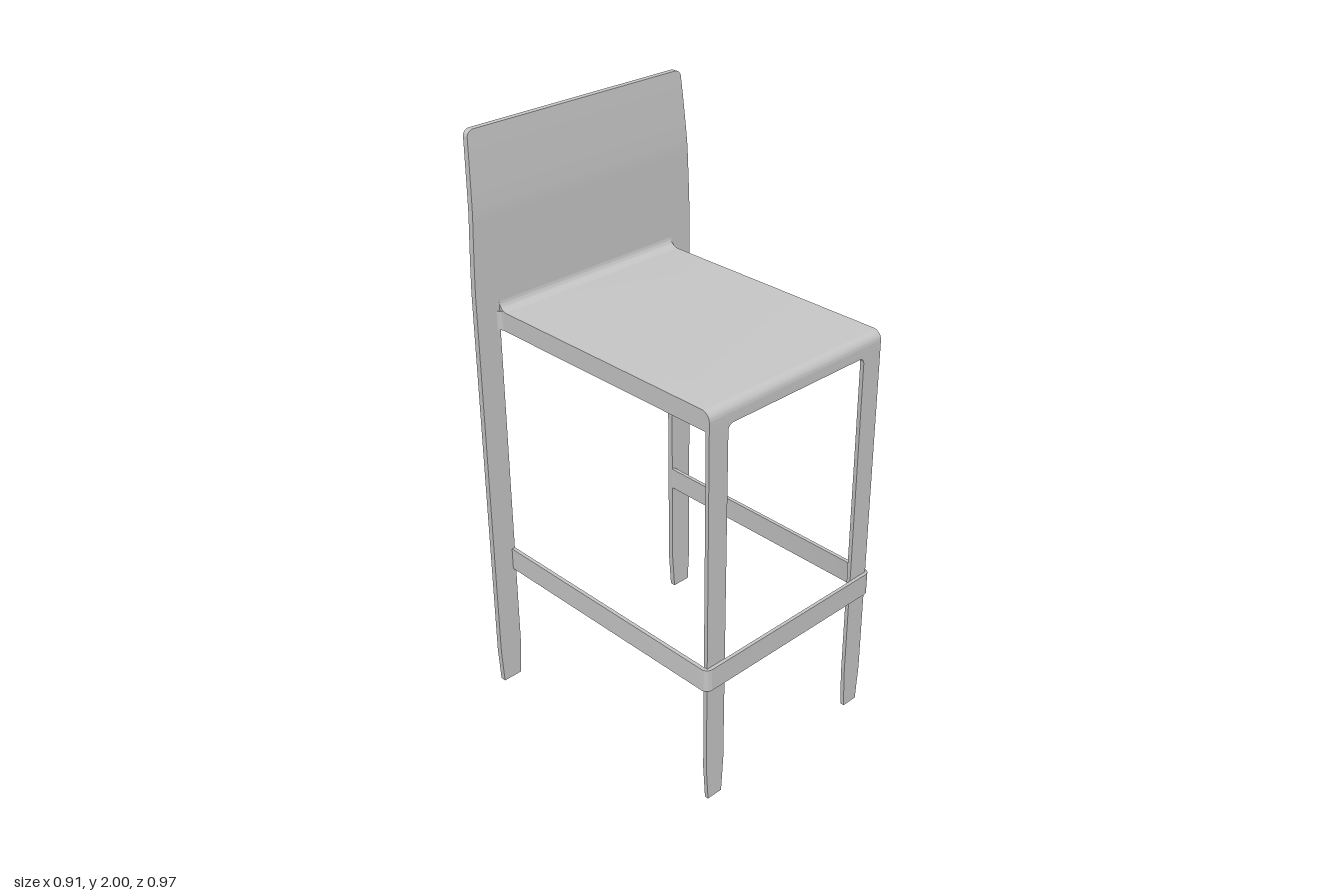
import * as THREE from 'three';
import { toCreasedNormals } from 'three/addons/utils/BufferGeometryUtils.js';

const SEAT_TOP = 1.41, SEAT_BOTTOM = 1.345;
const BACK_Z = -0.447, BACK_T = 0.02;   // front face and thickness of the back
const FRONT_Z = 0.474, FRONT_T = 0.014; // front face and thickness of the front legs
const SEAT_W = 0.369, BACK_W = 0.457;   // half widths

const extrude = (shape, depth) =>
  new THREE.ExtrudeGeometry(shape, { depth, bevelEnabled: false, curveSegments: 8 });
const polygon = (pts) => new THREE.Shape(pts.map(([x, y]) => new THREE.Vector2(x, y)));

export function createModel() {
  const group = new THREE.Group();
  const grey = new THREE.MeshStandardMaterial({ color: 0xc4c4c4 });
  grey.name = 'grey';
  const add = (name, geometry) => {
    const mesh = new THREE.Mesh(toCreasedNormals(geometry, 0.6), grey);
    mesh.name = name;
    group.add(mesh);
  };

  // Seat: side profile with a rounded nose and a fillet sweeping up into the back
  const seat = new THREE.Shape();
  const r = 0.032;
  seat.moveTo(BACK_Z, SEAT_BOTTOM);
  seat.lineTo(FRONT_Z, SEAT_BOTTOM);
  seat.lineTo(FRONT_Z, SEAT_TOP - r);
  seat.absarc(FRONT_Z - r, SEAT_TOP - r, r, 0, Math.PI / 2, false);
  seat.lineTo(BACK_Z + r, SEAT_TOP);
  seat.absarc(BACK_Z + r, SEAT_TOP + r, r, Math.PI * 1.5, Math.PI, true);
  const seatGeo = extrude(seat, SEAT_W * 2);
  seatGeo.rotateY(-Math.PI / 2).translate(SEAT_W, 0, 0);
  add('seat', seatGeo);

  // Backrest: a panel narrowed, rounded at the corners and leaned back towards the top
  const panel = new THREE.BoxGeometry(2, 1, BACK_T, 1, 40, 1);
  const pos = panel.attributes.position;
  const corner = 0.022;
  for (let i = 0; i < pos.count; i++) {
    const row = Math.round((pos.getY(i) + 0.5) * 40);
    // the last ten rows trace the rounded corner
    const a = Math.max(0, row - 30) / 10 * Math.PI / 2;
    const y = row <= 30
      ? SEAT_BOTTOM + (2 - corner - SEAT_BOTTOM) * row / 30
      : 2 - corner + corner * Math.sin(a);
    const taper = Math.max(0, (y - 1.48) / 0.52);
    const lean = Math.max(0, (y - 1.74) / 0.26);
    const w = BACK_W - 0.025 * taper ** 1.3 - corner * (1 - Math.cos(a));
    pos.setXYZ(i, pos.getX(i) * w, y, pos.getZ(i) + BACK_Z - BACK_T / 2 - 0.019 * lean ** 1.2);
  }
  add('backrest', panel);

  for (const s of [1, -1]) {
    const side = s > 0 ? 'left' : 'right';

    // Back leg, tapered at the foot
    const back = extrude(polygon([
      [0.45 * s, 0], [BACK_W * s, 0.13], [BACK_W * s, SEAT_BOTTOM],
      [0.37 * s, SEAT_BOTTOM], [0.37 * s, 0.13], [0.379 * s, 0],
    ]), BACK_T);
    add(side + 'BackLeg', back.translate(0, 0, BACK_Z - BACK_T));

    // Front leg, with a rounded inner corner under the seat
    const leg = new THREE.Shape();
    leg.moveTo(0.36 * s, 0);
    leg.lineTo(SEAT_W * s, 0.13);
    leg.lineTo(SEAT_W * s, SEAT_BOTTOM);
    leg.lineTo(0.27 * s, SEAT_BOTTOM);
    leg.quadraticCurveTo(0.293 * s, SEAT_BOTTOM, 0.293 * s, SEAT_BOTTOM - 0.023);
    leg.lineTo(0.293 * s, 0.13);
    leg.lineTo(0.301 * s, 0);
    add(side + 'FrontLeg', extrude(leg, FRONT_T).translate(0, 0, FRONT_Z - FRONT_T));

    // Small fillet where the seat side meets the back
    const fillet = new THREE.Shape();
    fillet.moveTo(SEAT_W * s, -BACK_Z);
    fillet.lineTo((SEAT_W + 0.014) * s, -BACK_Z);
    fillet.quadraticCurveTo(SEAT_W * s, -BACK_Z, SEAT_W * s, -BACK_Z - 0.02);
    const filletGeo = extrude(fillet, SEAT_TOP - SEAT_BOTTOM);
    add(side + 'SeatFillet', filletGeo.rotateX(-Math.PI / 2).translate(0, SEAT_BOTTOM, 0));
  }

  // Footrest: a thin U-shaped band around the front legs, running to the back legs
  const W = 0.382, w = SEAT_W, F = -0.486, f = -FRONT_Z, c = 0.024;
  const band = new THREE.Shape();
  band.moveTo(-W, -BACK_Z);
  band.lineTo(-W, F + c);
  band.absarc(-W + c, F + c, c, Math.PI, Math.PI * 1.5, false);
  band.lineTo(W - c, F);
  band.absarc(W - c, F + c, c, -Math.PI / 2, 0, false);
  band.lineTo(W, -BACK_Z);
  band.lineTo(w, -BACK_Z);
  band.lineTo(w, f + 0.011);
  band.quadraticCurveTo(w, f, w - 0.011, f);
  band.lineTo(-w + 0.011, f);
  band.quadraticCurveTo(-w, f, -w, f + 0.011);
  band.lineTo(-w, -BACK_Z);
  add('footrest', extrude(band, 0.08).rotateX(-Math.PI / 2).translate(0, 0.445, 0));

  return group;
}
